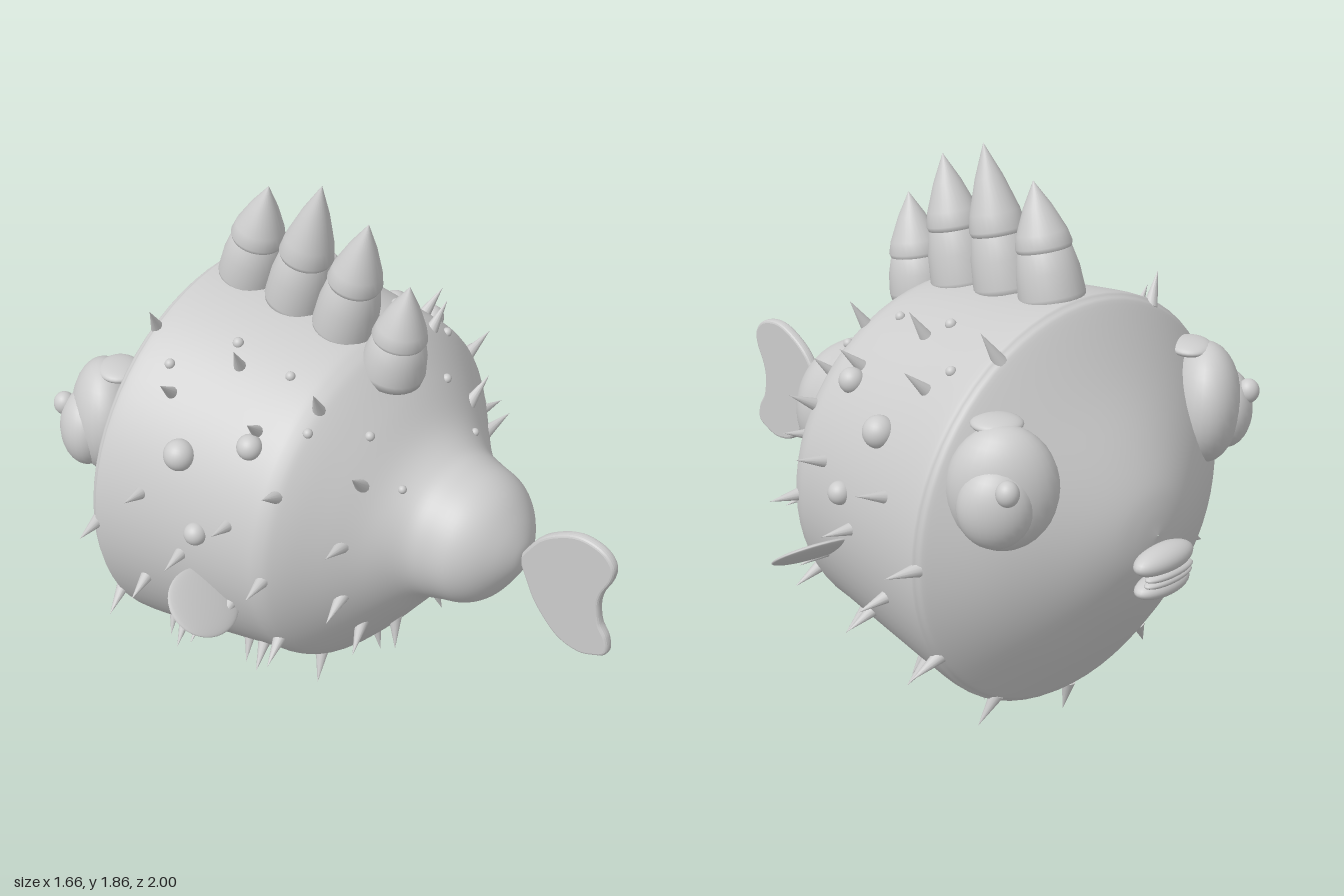
import * as THREE from 'three';

const grey = new THREE.MeshStandardMaterial({ color: 0xcccccc });
grey.name = 'light grey';

// Body cross-sections from nose to tail: z, half width, bottom y, top y
const SECTIONS = [
  [-0.915, 0.002, 0.758, 0.762], [-0.905, 0.09, 0.67, 0.85], [-0.88, 0.18, 0.59, 0.93],
  [-0.82, 0.31, 0.46, 1.04], [-0.715, 0.5, 0.285, 1.2], [-0.6, 0.65, 0.12, 1.385],
  [-0.565, 0.682, 0.085, 1.422], [-0.52, 0.69, 0.075, 1.43], [-0.28, 0.655, 0.11, 1.4],
  [-0.02, 0.622, 0.16, 1.365], [0.06, 0.61, 0.175, 1.34], [0.115, 0.57, 0.205, 1.295],
  [0.2, 0.47, 0.295, 1.2], [0.29, 0.36, 0.41, 1.09], [0.37, 0.275, 0.505, 1.035],
  [0.44, 0.243, 0.53, 1.015], [0.52, 0.222, 0.55, 0.99], [0.58, 0.18, 0.59, 0.95],
  [0.63, 0.115, 0.66, 0.885], [0.66, 0.05, 0.72, 0.82], [0.667, 0.002, 0.768, 0.772],
];
const widthCurve = new THREE.CatmullRomCurve3(
  SECTIONS.map(([z, w, b, t]) => new THREE.Vector3(z, w, (b + t) / 2)), false, 'catmullrom', 0.5);
const heightCurve = new THREE.CatmullRomCurve3(
  SECTIONS.map(([z, , b, t]) => new THREE.Vector3(z, (t - b) / 2, 0)), false, 'catmullrom', 0.5);
const ROWS = 100, SIDES = 64;
const rows = Array.from({ length: ROWS + 1 }, (_, i) => {
  const p = widthCurve.getPoint(i / ROWS), q = heightCurve.getPoint(i / ROWS);
  return { z: p.x, w: p.y, cy: p.z, h: q.y };
});

// Point on a body row, with the angle measured from the belly towards +x
const onRow = (r, a) => new THREE.Vector3(r.w * Math.sin(a), r.cy - r.h * Math.cos(a), r.z);
const onBody = (z, a) => onRow(
  rows.reduce((best, r) => (Math.abs(r.z - z) < Math.abs(best.z - z) ? r : best)), a);

function bodyGeometry() {
  const pos = [], index = [];
  rows.forEach((r, i) => {
    for (let j = 0; j < SIDES; j++) {
      pos.push(...onRow(r, (j / SIDES) * Math.PI * 2).toArray());
      if (i === ROWS) continue;
      const k = (j + 1) % SIDES, a = i * SIDES + j, b = i * SIDES + k;
      index.push(a, b, a + SIDES, b, b + SIDES, a + SIDES);
    }
  });
  const g = new THREE.BufferGeometry();
  g.setAttribute('position', new THREE.Float32BufferAttribute(pos, 3));
  g.setIndex(index);
  g.computeVertexNormals();
  return g;
}

export function createModel() {
  const model = new THREE.Group();
  model.name = 'pufferFish';
  const add = (name, geometry, parent = model) => {
    const m = new THREE.Mesh(geometry, grey);
    m.name = name;
    parent.add(m);
    return m;
  };
  const ball = new THREE.SphereGeometry(1, 28, 18);
  const ellipsoid = (name, p, s, parent) => {
    const m = add(name, ball, parent);
    m.position.set(...p);
    m.scale.set(...s);
    return m;
  };

  add('body', bodyGeometry());

  // Row of horns on the back: z, base y, socket height, cone height
  const horns = [[0.135, 1.28, 0.13, 0.195, 0.19], [-0.06, 1.37, 0.18, 0.225, 0.24],
    [-0.255, 1.4, 0.18, 0.27, 0.245], [-0.45, 1.42, 0.155, 0.2, 0.25]];
  for (const [z, y, base, cone, tilt] of horns) {
    const horn = new THREE.Group();
    horn.name = 'horn';
    horn.position.set(0, y, z);
    horn.rotation.x = tilt;
    model.add(horn);
    const lathe = (pts) => new THREE.LatheGeometry(pts.map(([r, h]) => new THREE.Vector2(r, h)), 28);
    add('hornSocket', lathe([[0, -0.03], [0.1, -0.03], [0.106, 0], [0.1, base * 0.5],
      [0.086, base * 0.9], [0.07, base], [0, base]]), horn);
    add('hornTip', lathe([[0, base - 0.02], [0.082, base - 0.02], [0.09, base],
      [0.08, base + cone * 0.2], [0.045, base + cone * 0.6], [0, base + cone]]), horn);
  }

  // Spines in staggered rings, leaning slightly towards the tail
  const spine = new THREE.ConeGeometry(0.024, 0.12, 12);
  spine.translate(0, 0.04, 0);
  const up = new THREE.Vector3(0, 1, 0);
  [0.235, 0.075, -0.085, -0.245, -0.4, -0.555].forEach((z, ring) => {
    for (let k = 0; k < 12; k++) {
      const deg = k * 30 + (ring % 2 ? 0 : 15);
      if (Math.abs(deg - 180) < 20) continue;
      if (z < -0.5 && Math.abs(Math.abs(deg - 180) - 60) < 5) continue;
      if (ring === 3 && Math.abs(Math.abs(deg - 180) - 60) < 5) continue;
      const a = THREE.MathUtils.degToRad(deg);
      const m = add('spine', spine);
      m.position.copy(onBody(z, a));
      m.quaternion.setFromUnitVectors(up,
        new THREE.Vector3(Math.sin(a), -Math.cos(a), 0.2).normalize());
    }
  });

  // Tail fin: a notched fan with softened edges
  const fan = new THREE.Shape();
  fan.moveTo(0.66, 0.77);
  fan.splineThru([[0.73, 0.87], [0.81, 0.925], [0.88, 0.945], [0.95, 0.93], [0.988, 0.89],
    [0.985, 0.84], [0.955, 0.775], [0.945, 0.72], [0.955, 0.65], [0.983, 0.6], [0.988, 0.55],
    [0.95, 0.525], [0.89, 0.51], [0.81, 0.535], [0.73, 0.62], [0.69, 0.7], [0.66, 0.77]]
    .map(([x, y]) => new THREE.Vector2(x, y)));
  const fanGeo = new THREE.ExtrudeGeometry(fan, { depth: 0.008, bevelEnabled: true,
    bevelThickness: 0.014, bevelSize: 0.01, bevelSegments: 3, curveSegments: 60 });
  fanGeo.translate(0, 0, -0.004);
  fanGeo.rotateY(-Math.PI / 2);
  add('tailFin', fanGeo);

  // Lips
  ellipsoid('upperLip', [0, 0.693, -0.94], [0.125, 0.045, 0.055]);
  ellipsoid('upperLipRim', [0, 0.658, -0.965], [0.105, 0.018, 0.033]);
  ellipsoid('lowerLipRim', [0, 0.636, -0.962], [0.105, 0.018, 0.033]);
  ellipsoid('lowerLip', [0, 0.606, -0.938], [0.115, 0.037, 0.053]);

  for (const s of [-1, 1]) {
    const side = s > 0 ? 'left' : 'right';

    // Eye: flattened ball, domed iris, pupil bead and lid
    const eye = new THREE.Group();
    eye.name = side + 'Eye';
    model.add(eye);
    const turn = Math.PI - s * 0.78;
    ellipsoid('eyeball', [s * 0.46, 1.0, -0.7], [0.17, 0.2, 0.115], eye).rotation.y = turn;
    ellipsoid('iris', [s * 0.525, 0.97, -0.735], [0.115, 0.13, 0.085], eye).rotation.y = turn;
    ellipsoid('pupil', [s * 0.545, 1.045, -0.805], [0.036, 0.04, 0.036], eye);
    ellipsoid('eyelid', [s * 0.435, 1.185, -0.65], [0.08, 0.025, 0.07], eye).rotation.y = turn;

    // Side fin: a thin tilted oval
    const u = new THREE.Vector3(0, 0.6, -0.8);
    const v = new THREE.Vector3(s * 0.92, -0.05, 0.3);
    v.addScaledVector(u, -v.dot(u) * 0.7);
    v.addScaledVector(u, -v.dot(u)).normalize();
    const fin = ellipsoid(side + 'Fin', [s * 0.685, 0.645, -0.1], [0.145, 0.12, 0.016]);
    fin.quaternion.setFromRotationMatrix(
      new THREE.Matrix4().makeBasis(v, u, new THREE.Vector3().crossVectors(v, u)));

    // Warts: z, angle from the belly in degrees, radius
    const warts = [[-0.285, 120, 0.052], [-0.05, 130, 0.042], [-0.15, 99, 0.038],
      [-0.43, 142, 0.017], [-0.3, 156, 0.018], [-0.05, 154, 0.016], [0.08, 142, 0.016],
      [0.2, 154, 0.016], [0.325, 142, 0.014]];
    for (const [z, deg, r] of warts) {
      const p = onBody(z, s * THREE.MathUtils.degToRad(deg));
      ellipsoid('wart', p.toArray(), [r, r, r]);
    }
  }
  return model;
}
